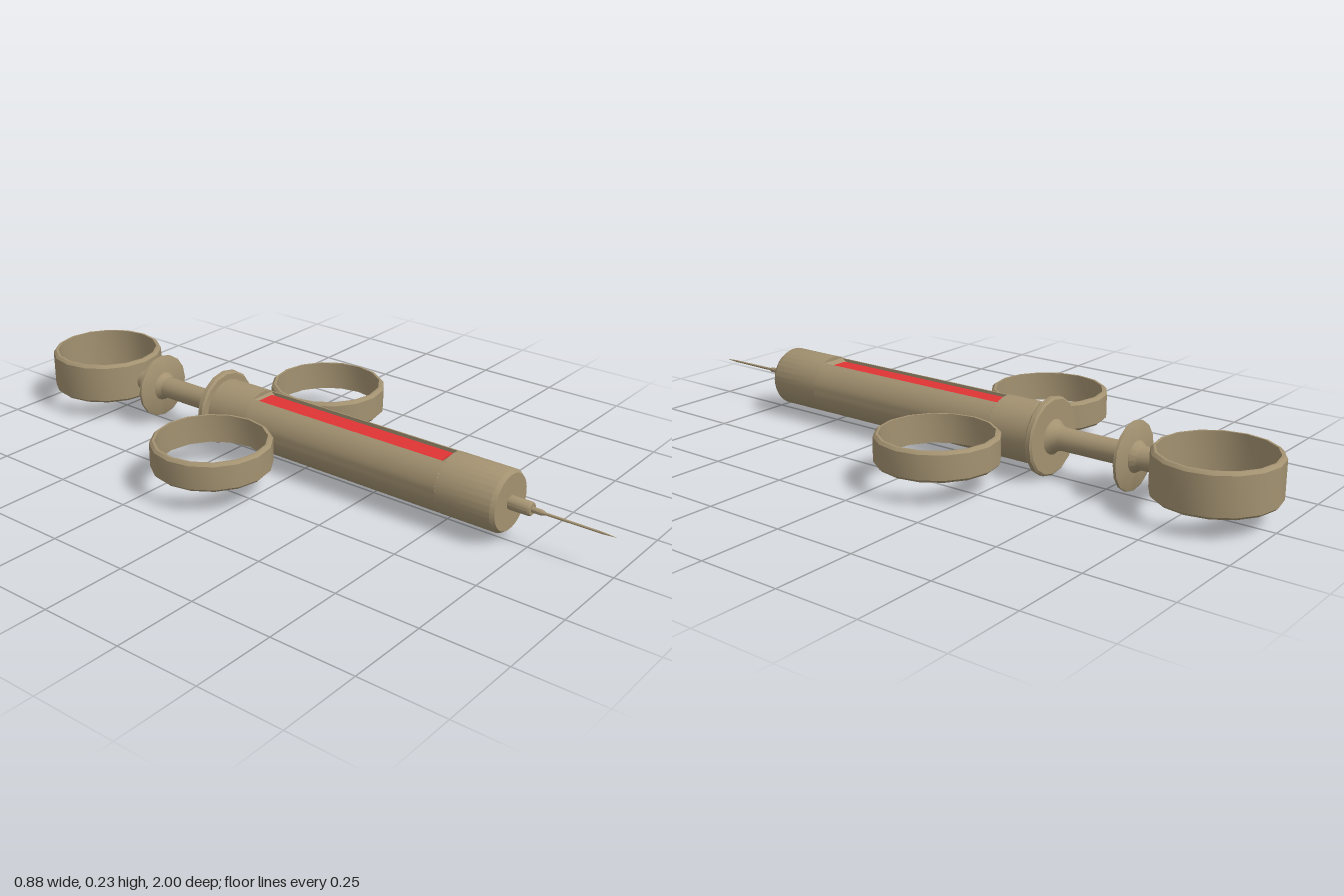
import * as THREE from 'three';
import { toCreasedNormals } from 'three/addons/utils/BufferGeometryUtils.js';

const AXIS = 0.117; // height of the long axis

export function createModel() {
  const group = new THREE.Group();
  const metal = new THREE.MeshStandardMaterial({ color: 0xa39271 });
  const red = new THREE.MeshStandardMaterial({ color: 0xe03434 });

  const add = (name, geometry, material = metal) => {
    const mesh = new THREE.Mesh(geometry, material);
    mesh.name = name;
    group.add(mesh);
    return mesh;
  };

  // Turned part along z, from [radius, z] pairs with z rising
  const turned = (name, profile, sides = 24, start = 0, sweep = Math.PI * 2) => {
    const points = profile.map(([r, z]) => new THREE.Vector2(r, z));
    const geometry = new THREE.LatheGeometry(points, sides, start, sweep).rotateX(Math.PI / 2);
    const mesh = add(name, toCreasedNormals(geometry, 0.6));
    mesh.position.y = AXIS;
    return mesh;
  };

  // Upright finger ring with bevelled rims
  const ring = (name, x, z, outer, height, y) => {
    const inner = outer - 0.015, h = height / 2, b = 0.008;
    const points = [
      [inner, h], [inner, -h], [outer - b, -h], [outer, b - h],
      [outer, h - b], [outer - b, h], [inner, h],
    ].map(([r, v]) => new THREE.Vector2(r, v));
    const mesh = add(name, toCreasedNormals(new THREE.LatheGeometry(points, 16), 0.6));
    mesh.position.set(x, y, z);
  };

  // Barrel: two closed ends and a middle left open along the top
  const R = 0.089, slotBack = -0.16, slotFront = 0.51, slotHalf = 0.042;
  const slotAngle = Math.asin(slotHalf / R);
  turned('barrelBack', [[0, -0.31], [R, -0.31], [R, slotBack], [0, slotBack]], 32);
  turned('barrelMiddle', [[R, slotBack], [R, slotFront]], 32, Math.PI + slotAngle, 2 * (Math.PI - slotAngle));
  turned('barrelFront', [[0, slotFront], [R, slotFront], [R, 0.68], [R - 0.008, 0.692], [0, 0.692]], 32);

  // Window recess: floor with ramped ends, and side walls
  const floorY = 0.182, edgeY = 0.194, ramp = 0.025;
  const floor = new THREE.Shape([
    [slotBack, 0.16], [slotFront, 0.16], [slotFront, edgeY],
    [slotFront - ramp, floorY], [slotBack + ramp / 2, floorY], [slotBack, edgeY],
  ].map(([z, y]) => new THREE.Vector2(z, y)));
  add('windowFloor', new THREE.ExtrudeGeometry(floor, { depth: slotHalf * 2, bevelEnabled: false })
    .rotateY(-Math.PI / 2).translate(slotHalf, 0, 0));
  for (const side of [-1, 1]) {
    add('windowWall', new THREE.BoxGeometry(0.004, 0.034, slotFront - slotBack))
      .position.set(side * 0.041, edgeY - 0.0175, (slotFront + slotBack) / 2);
  }
  add('fluid', new THREE.BoxGeometry(0.06, 0.02, 0.64), red).position.set(0, 0.178, 0.168);

  // Flange behind the barrel
  turned('barrelFlange', [
    [0, -0.326], [0.108, -0.326], [0.114, -0.321], [0.114, -0.308], [0.108, -0.302], [0, -0.302],
  ], 16);

  // Plunger rod with flared feet and thumb disc
  turned('plungerRod', [
    [0.033, -0.67], [0.033, -0.61], [0.045, -0.592], [0.045, -0.572],
    [0.033, -0.555], [0.033, -0.36], [0.038, -0.342], [0.052, -0.325],
  ], 16);
  turned('plungerDisc', [
    [0, -0.592], [0.09, -0.589], [0.098, -0.585], [0.098, -0.577], [0.09, -0.573], [0, -0.57],
  ], 16);

  // Finger and thumb rings
  ring('thumbRing', 0, -0.827, 0.173, 0.125, 0.124);
  ring('leftFingerRing', 0.266, -0.125, 0.175, 0.086, 0.118);
  ring('rightFingerRing', -0.266, -0.125, 0.175, 0.086, 0.118);

  // Nozzle and needle
  turned('nozzle', [[0.02, 0.69], [0.02, 0.752], [0.017, 0.757], [0, 0.757]], 16);
  turned('needle', [[0.008, 0.755], [0.008, 0.785], [0.004, 0.795], [0.003, 0.96], [0, 1]], 10);

  return group;
}
